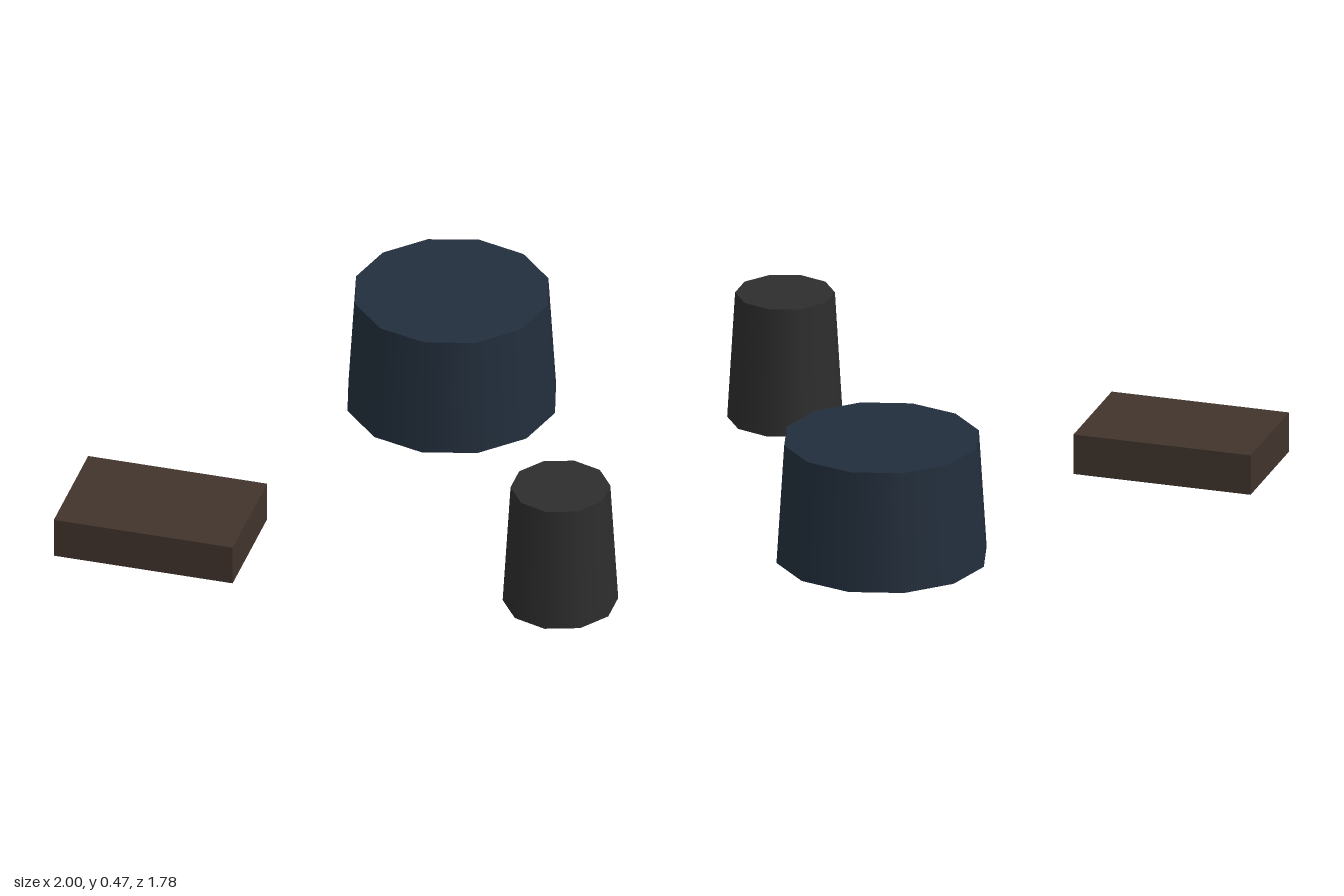
import * as THREE from 'three';

const material = (name, color) => {
  const m = new THREE.MeshStandardMaterial({ color });
  m.name = name;
  return m;
};

export function createModel() {
  const group = new THREE.Group();
  const navy = material('navy', 0x222e3c);
  const charcoal = material('charcoal', 0x2d2d2d);
  const brown = material('brown', 0x41342c);

  // Every part stands on the ground at (x, z)
  const add = (name, geometry, mat, x, z, height) => {
    const mesh = new THREE.Mesh(geometry, mat);
    mesh.name = name;
    mesh.position.set(x, height / 2, z);
    group.add(mesh);
  };

  // Wide tapered drum at the back
  add('wideDrum', new THREE.CylinderGeometry(0.353, 0.381, 0.445, 12), navy, 0.065, -0.51, 0.445);
  // Narrow tapered post at the front left
  add('narrowPost', new THREE.CylinderGeometry(0.177, 0.205, 0.473, 10), charcoal, 0.805, 0.665, 0.473);
  // Low slab at the front right
  add('lowSlab', new THREE.BoxGeometry(0.66, 0.15, 0.44), brown, -0.67, 0.668, 0.15);

  return group;
}
